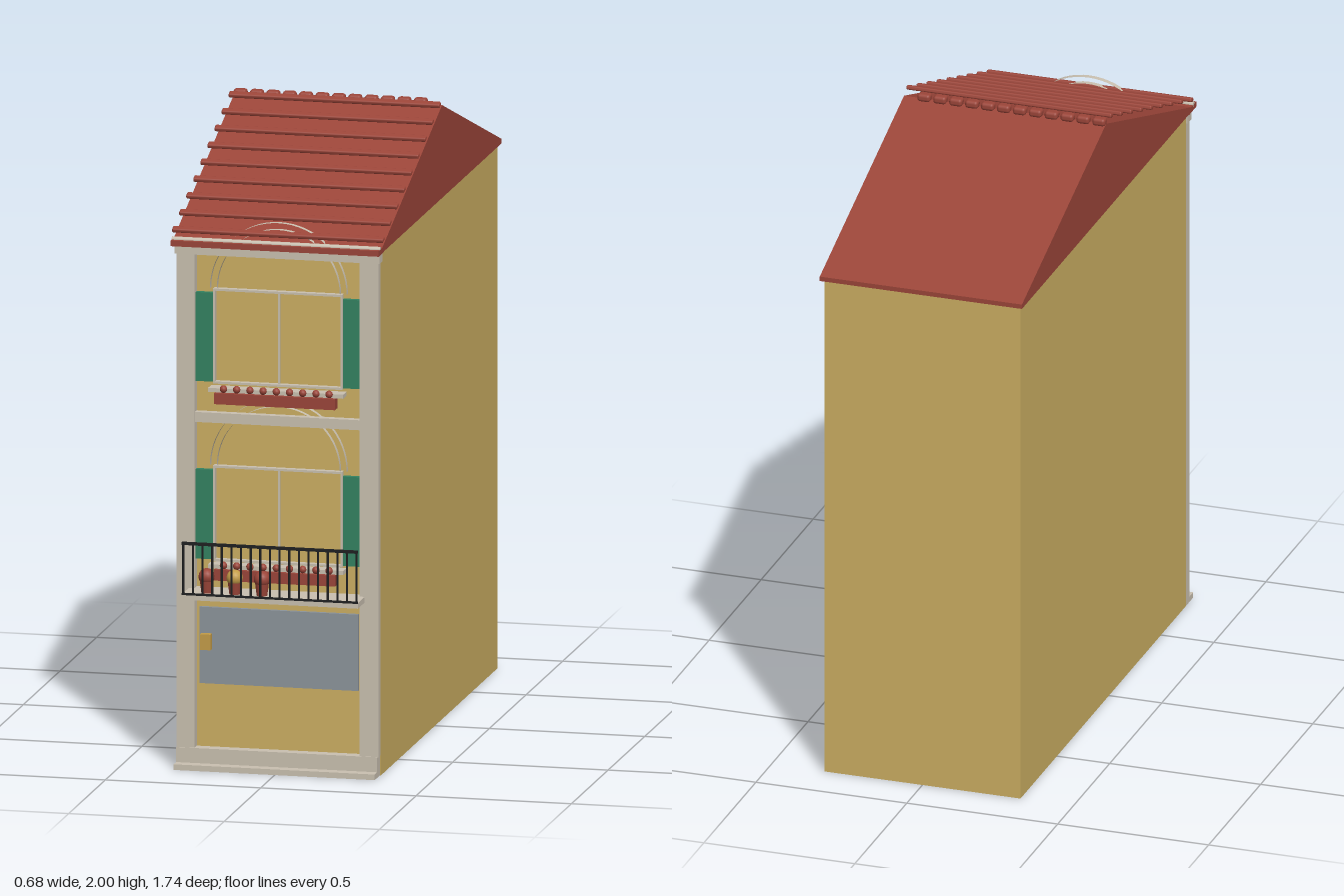
import * as THREE from 'three';
import { RoundedBoxGeometry } from 'three/addons/geometries/RoundedBoxGeometry.js';

const mat = (name, color) => {
  const m = new THREE.MeshStandardMaterial({ color });
  m.name = name;
  return m;
};

export function createModel() {
  const group = new THREE.Group();
  const wall = mat('ochre plaster', 0xcbae62);
  const red = mat('terracotta', 0x9b4539);
  const stone = mat('pale stone', 0xc9c0b0);
  const green = mat('shutter green', 0x338261);
  const grey = mat('door grey', 0x8c949b);
  const black = mat('iron black', 0x1e1f20);
  const gold = mat('lantern gold', 0xc39c48);
  const trim = mat('arch stone', 0xc9c0b0);
  trim.side = THREE.DoubleSide;

  const add = (name, geometry, material, x = 0, y = 0, z = 0) => {
    const mesh = new THREE.Mesh(geometry, material);
    mesh.name = name;
    mesh.position.set(x, y, z);
    group.add(mesh);
    return mesh;
  };
  // box given by its limits on each axis
  const box = (name, material, x0, x1, y0, y1, z0, z1) =>
    add(name, new THREE.BoxGeometry(x1 - x0, y1 - y0, z1 - z0), material,
      (x0 + x1) / 2, (y0 + y1) / 2, (z0 + z1) / 2);

  // main block
  box('walls', wall, -0.325, 0.325, 0, 1.685, -0.85, 0.74);

  // gabled roof, profile drawn in z and y
  const ridgeZ = -0.055, ridgeY = 1.98, eaveY = 1.7;
  const slope = (ridgeY - eaveY) / 0.81;
  const profile = new THREE.Shape([
    [-0.865, 1.682], [0.765, 1.682], [0.765, 1.697], [ridgeZ, ridgeY], [-0.865, 1.697],
  ].map(([z, y]) => new THREE.Vector2(-z, y)));
  const roof = new THREE.ExtrudeGeometry(profile, { depth: 0.67, bevelEnabled: false });
  roof.translate(0, 0, -0.335).rotateY(Math.PI / 2);
  add('roof', roof, red);

  // raised tile courses on the front slope
  for (let i = 0; i < 9; i++) {
    const z = -0.01 + i * 0.0963;
    const course = add('tileCourse', new RoundedBoxGeometry(0.68, 0.014, 0.024, 2, 0.005), red,
      0, ridgeY - (z - ridgeZ) * slope + 0.026, z);
    course.rotation.x = Math.atan(slope);
  }
  // ridge tiles
  for (let i = 0; i < 12; i++) {
    add('ridgeTile', new RoundedBoxGeometry(0.043, 0.026, 0.033, 2, 0.01), red,
      -0.314 + i * 0.0527, 1.987, -0.057);
  }

  // cornice and eaves
  box('cornice', stone, -0.33, 0.33, 1.65, 1.68, 0.74, 0.78);
  box('eaveBoard', red, -0.335, 0.335, 1.68, 1.698, 0.74, 0.81);
  const gutter = add('gutter', new THREE.CylinderGeometry(0.009, 0.009, 0.67, 12), stone, 0, 1.698, 0.787);
  gutter.rotation.z = Math.PI / 2;

  // corner pilasters, base steps and string course
  box('pilaster', stone, -0.325, -0.267, 0.065, 1.65, 0.74, 0.772);
  box('pilaster', stone, 0.265, 0.325, 0.065, 1.65, 0.74, 0.772);
  box('plinth', stone, -0.325, 0.322, 0.016, 0.066, 0.74, 0.776);
  box('doorStep', stone, -0.325, 0.322, 0, 0.018, 0.74, 0.81);
  box('stringCourse', stone, -0.267, 0.265, 1.11, 1.142, 0.74, 0.765);

  // windows: frame, mullion, shutters, slim arch bands and planter
  const addWindow = (bottom, top, planterY) => {
    box('windowHead', stone, -0.21, 0.206, top - 0.007, top, 0.74, 0.76);
    box('windowSill', stone, -0.21, 0.206, bottom, bottom + 0.007, 0.74, 0.76);
    box('windowJamb', stone, -0.21, -0.204, bottom, top, 0.74, 0.76);
    box('windowJamb', stone, 0.2, 0.206, bottom, top, 0.74, 0.76);
    box('mullion', stone, -0.003, 0.003, bottom, top, 0.74, 0.75);
    box('shutter', green, -0.267, -0.211, bottom + 0.005, top - 0.015, 0.74, 0.757);
    box('shutter', green, 0.207, 0.265, bottom + 0.005, top - 0.015, 0.74, 0.757);
    for (const r of [0.198, 0.22]) {
      const band = new THREE.CylinderGeometry(r, r, 0.018, 32, 1, true, Math.PI / 2, Math.PI);
      band.rotateX(Math.PI / 2);
      if (band.attributes.position.getY(16) < 0) band.rotateZ(Math.PI);
      add('archBand', band, trim, 0, top, 0.751);
    }
    box('planter', red, -0.198, 0.192, planterY, planterY + 0.035, 0.765, 0.8);
    box('planterLedge', stone, -0.22, 0.215, planterY + 0.035, planterY + 0.048, 0.74, 0.785);
    for (let i = 0; i < 9; i++) {
      add('flower', new THREE.SphereGeometry(0.012, 10, 8), red, -0.17 + i * 0.0425, planterY + 0.047, 0.787);
    }
  };
  addWindow(1.235, 1.54, 1.178);
  addWindow(0.665, 0.972, 0.612);

  // balcony with iron railing
  box('balconySlab', stone, -0.285, 0.281, 0.56, 0.578, 0.74, 0.866);
  box('topRail', black, -0.285, 0.281, 0.737, 0.746, 0.861, 0.87);
  box('bottomRail', black, -0.285, 0.281, 0.576, 0.582, 0.861, 0.869);
  for (let i = 0; i < 19; i++) {
    add('railBar', new THREE.CylinderGeometry(0.0035, 0.0035, 0.16, 8), black, -0.281 + i * 0.031, 0.659, 0.865);
  }

  // potted plants on the balcony
  [[-0.215, red], [-0.125, gold], [-0.037, red]].forEach(([x, colour]) => {
    add('plantPot', new THREE.CylinderGeometry(0.022, 0.017, 0.04, 16), red, x, 0.598, 0.825);
    add('plant', new THREE.SphereGeometry(0.026, 16, 12), colour, x, 0.63, 0.825);
  });

  // garage door and wall lantern
  box('garageDoor', grey, -0.256, 0.255, 0.27, 0.515, 0.74, 0.752);
  box('lantern', gold, -0.245, -0.211, 0.385, 0.435, 0.768, 0.79);
  box('lanternArm', black, -0.232, -0.224, 0.42, 0.428, 0.75, 0.77);

  return group;
}
